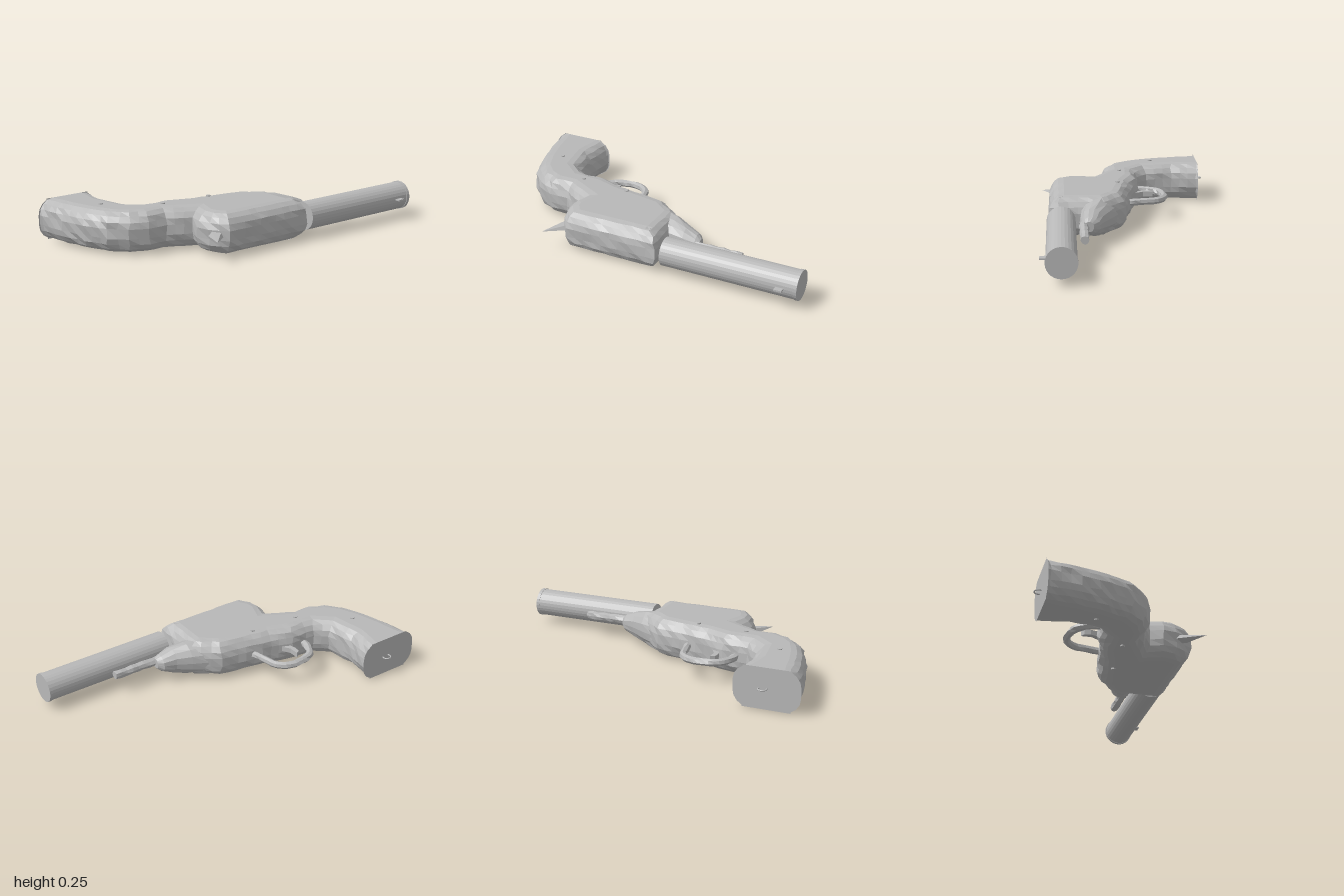
import * as THREE from 'three';

const MID = 0.125; // height of the symmetry plane

// repeatable rough offset in -1..1 taken from a position
function rough(x, y, z) {
  const s = Math.sin(Math.round(x * 500) * 12.99 + Math.round(y * 500) * 78.23 + Math.round(z * 500) * 37.72) * 43758.55;
  return (s - Math.floor(s)) * 2 - 1;
}

// move every vertex of a geometry by a rule
function reshape(geo, rule) {
  const p = geo.attributes.position, v = new THREE.Vector3();
  for (let i = 0; i < p.count; i++) {
    rule(v.fromBufferAttribute(p, i));
    p.setXYZ(i, v.x, v.y, v.z);
  }
  geo.computeVertexNormals();
  return geo;
}

// split the edges of an outline into short pieces
function subdivide(points, step) {
  const out = [];
  points.forEach(([x, z], i) => {
    const [nx, nz] = points[(i + 1) % points.length];
    const n = Math.max(1, Math.round(Math.hypot(nx - x, nz - z) / step));
    for (let k = 0; k < n; k++) out.push(new THREE.Vector2(x + (nx - x) * k / n, z + (nz - z) * k / n));
  });
  return out;
}

export function createModel() {
  const model = new THREE.Group();
  const metal = new THREE.MeshStandardMaterial({ color: 0xb8b8b8, flatShading: true, side: THREE.DoubleSide });
  const add = (name, geo, x = 0, y = 0, z = 0) => {
    const mesh = new THREE.Mesh(geo, metal);
    mesh.name = name;
    mesh.position.set(x, y, z);
    model.add(mesh);
    return mesh;
  };

  // grip and frame: one rounded slab, outline given as x, z
  const outline = [
    [-1.01, -0.57], [-0.97, -0.3], [-0.93, -0.14], [-0.875, 0.0], [-0.79, 0.09], [-0.69, 0.14],
    [-0.58, 0.14], [-0.45, 0.21], [-0.475, 0.28], [-0.46, 0.36], [-0.4, 0.46], [0.165, 0.46],
    [0.17, 0.13], [0.03, 0.02], [-0.18, -0.02], [-0.29, -0.04], [-0.42, -0.085], [-0.57, -0.09],
    [-0.64, -0.15], [-0.665, -0.31], [-0.63, -0.57],
  ];
  const slab = new THREE.ExtrudeGeometry(new THREE.Shape(subdivide(outline, 0.055)), {
    depth: 0.055, bevelThickness: 0.09, bevelSize: 0.085, bevelOffset: -0.085, bevelSegments: 4,
  });
  slab.rotateX(Math.PI / 2);
  slab.translate(0, MID + 0.0275, 0);
  add('gripAndFrame', reshape(slab, v => {
    if (v.z < -0.478) v.z = -0.478; // flat butt
    else if (Math.abs(v.y - MID) < 0.112) {
      const a = 0.006 * rough(v.x, v.y, v.z), b = 0.006 * rough(v.z, v.x, v.y);
      v.x += a;
      v.z += b;
    }
  }));

  // nose tapering from the frame to the rod: x, centre z, half depth, half height
  const stations = [
    [-0.02, 0.17, 0.14, 0.112], [0.08, 0.18, 0.12, 0.11], [0.17, 0.195, 0.09, 0.1],
    [0.25, 0.22, 0.068, 0.08], [0.32, 0.23, 0.053, 0.05], [0.345, 0.24, 0.03, 0.03],
  ];
  const nose = new THREE.CylinderGeometry(1, 1, 5, 14, 5);
  nose.rotateZ(-Math.PI / 2);
  add('nose', reshape(nose, v => {
    const [x, zc, rz, ry] = stations[Math.round(v.x + 2.5)];
    const k = 1 + 0.05 * rough(v.x, v.y, v.z);
    v.set(x, MID + v.y * ry * k, zc + v.z * rz * k);
  }));

  // rod under the barrel
  const rod = new THREE.CylinderGeometry(0.024, 0.026, 0.3, 8, 8);
  rod.rotateZ(-Math.PI / 2);
  add('rod', reshape(rod, v => {
    const k = 1 + 0.12 * rough(v.x, v.y, v.z);
    v.y *= k;
    v.z *= k;
  }), 0.455, MID, 0.266);

  // barrel with a slim muzzle ring
  const barrel = new THREE.CylinderGeometry(0.082, 0.082, 0.79, 28);
  barrel.rotateZ(-Math.PI / 2);
  add('barrel', barrel, 0.595, MID, 0.393);
  const ring = new THREE.CylinderGeometry(0.085, 0.085, 0.02, 28);
  ring.rotateZ(-Math.PI / 2);
  add('muzzleRing', ring, 0.99, MID, 0.393);
  add('frontSight', new THREE.BoxGeometry(0.045, 0.009, 0.035), 0.905, MID, 0.488);

  // trigger guard
  const guardPath = new THREE.CatmullRomCurve3([
    [-0.5, -0.06], [-0.49, -0.14], [-0.45, -0.2], [-0.38, -0.23], [-0.28, -0.228],
    [-0.22, -0.18], [-0.2, -0.1], [-0.18, 0.0],
  ].map(([x, z]) => new THREE.Vector3(x, MID, z)));
  add('triggerGuard', reshape(new THREE.TubeGeometry(guardPath, 22, 0.021, 7), v => {
    const a = 0.004 * rough(v.x, v.y, v.z);
    v.x += a;
    v.z += a;
  }));

  // trigger blade
  const blade = new THREE.Shape([[-0.39, -0.04], [-0.41, -0.12], [-0.405, -0.155], [-0.38, -0.17], [-0.38, -0.11], [-0.34, -0.04]]
    .map(([x, z]) => new THREE.Vector2(x, z)));
  const trigger = new THREE.ExtrudeGeometry(blade, { depth: 0.03, bevelEnabled: false });
  trigger.rotateX(Math.PI / 2);
  add('trigger', trigger, 0, MID + 0.015, 0);

  // hammer spur: a flattened spike leaning back
  const spur = new THREE.ConeGeometry(0.055, 0.19, 5);
  spur.scale(1, 1, 0.55);
  spur.rotateX(Math.PI / 2);
  const hammer = add('hammer', spur, -0.465, MID, 0.437);
  hammer.rotation.y = Math.atan2(-0.11, 0.145);

  // pins passing through grip and frame
  for (const [x, z] of [[-0.52, 0.03], [-0.22, 0.055], [-0.79, -0.18]])
    add('pin', new THREE.CylinderGeometry(0.013, 0.013, 0.248, 8), x, MID, z);

  // lanyard loop on the butt
  const loop = new THREE.TorusGeometry(0.024, 0.004, 6, 16);
  loop.rotateX(Math.PI / 2);
  add('lanyardLoop', loop, -0.8, MID, -0.488);

  return model;
}
